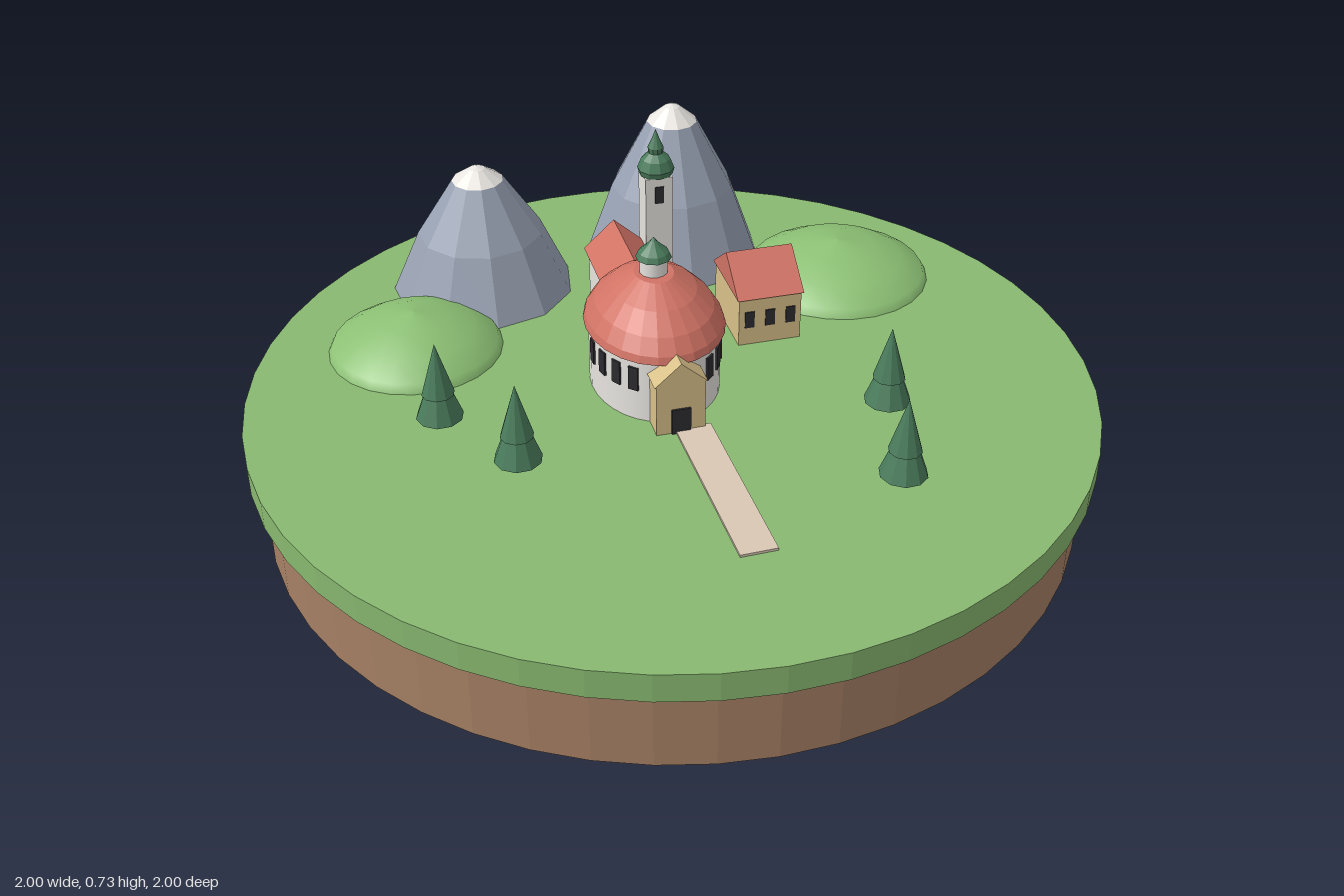
import * as THREE from 'three';

const paint = (name, color) => {
  const m = new THREE.MeshStandardMaterial({ color });
  m.name = name;
  return m;
};

export function createModel() {
  const soil = paint('soil brown', 0xa68064);
  const grass = paint('grass green', 0x88b870);
  const hillGreen = paint('hill green', 0x8cc074);
  const rock = paint('rock grey', 0x98a1b2);
  const white = paint('plaster white', 0xeeebe6);
  const red = paint('roof red', 0xd07264);
  const tan = paint('tan plaster', 0xd8c088);
  const green = paint('dark green', 0x4a7c5c);
  const dark = paint('window dark', 0x2c2c30);
  const sand = paint('path sand', 0xd9c7b3);

  const model = new THREE.Group();
  const GROUND = 0.27;
  const TURN = -0.35; // buildings share one heading

  const add = (parent, name, geo, mat, x = 0, y = 0, z = 0, ry = 0) => {
    const m = new THREE.Mesh(geo, mat);
    m.name = name;
    m.position.set(x, y, z);
    m.rotation.y = ry;
    parent.add(m);
    return m;
  };
  const group = (parent, name, x = 0, y = 0, z = 0, ry = 0) => {
    const g = new THREE.Group();
    g.name = name;
    g.position.set(x, y, z);
    g.rotation.y = ry;
    parent.add(g);
    return g;
  };
  const facet = (geo) => {
    const g = geo.index ? geo.toNonIndexed() : geo;
    g.computeVertexNormals();
    return g;
  };
  const lathe = (pts, seg) => new THREE.LatheGeometry(pts.map(([r, y]) => new THREE.Vector2(r, y)), seg);
  // box standing on its base
  const block = (w, h, d) => new THREE.BoxGeometry(w, h, d).translate(0, h / 2, 0);
  // triangular prism with its ridge along z
  const gable = (w, h, d) => {
    const s = new THREE.Shape([[-w / 2, 0], [w / 2, 0], [0, h]].map(([x, y]) => new THREE.Vector2(x, y)));
    return new THREE.ExtrudeGeometry(s, { depth: d, bevelEnabled: false }).translate(0, 0, -d / 2);
  };

  // Round base
  add(model, 'soil', facet(new THREE.CylinderGeometry(0.97, 0.97, 0.2, 48)), soil, 0, 0.1);
  add(model, 'grass', facet(new THREE.CylinderGeometry(1, 1, 0.07, 48)), grass, 0, 0.235);

  // Mountains with snow caps
  for (const [x, z, h] of [[-0.13, -0.66, 0.34], [0.375, -0.53, 0.425]]) {
    const m = group(model, 'mountain', x, GROUND, z, 0.2);
    add(m, 'rock', facet(lathe([[0.23, 0], [0.158, h * 0.47], [0.065, h * 0.89]], 11)), rock);
    add(m, 'snowCap', facet(lathe([[0.065, h * 0.89], [0.02, h * 0.98], [0, h]], 11)), white);
  }

  // Hills with a steep rim
  for (const [x, z, r] of [[-0.42, -0.49, 0.212], [0.65, -0.175, 0.237]]) {
    const profile = [[1, 0], [0.95, 0.022], [0.7, 0.056], [0.38, 0.084], [0, 0.1]];
    add(model, 'hill', lathe(profile.map(([k, y]) => [k * r, y]), 24), hillGreen, x, GROUND, z);
  }

  // Trees
  for (const [x, z] of [[-0.535, -0.16], [-0.475, 0.085], [0.34, 0.38], [0.18, 0.615]]) {
    const t = group(model, 'tree', x, GROUND, z);
    add(t, 'trunk', new THREE.CylinderGeometry(0.011, 0.013, 0.04, 6), soil, 0, 0.02);
    add(t, 'lowerFoliage', facet(new THREE.ConeGeometry(0.055, 0.15, 10)), green, 0, 0.103);
    add(t, 'upperFoliage', facet(new THREE.ConeGeometry(0.038, 0.13, 10)), green, 0, 0.155);
  }

  // Church: oval nave with domed roof
  const church = group(model, 'church', -0.02, GROUND, -0.045, TURN);
  const A = 0.152, B = 0.193;
  add(church, 'naveWall', lathe([[1, 0], [1, 0.17]], 32).scale(A, 1, B), white);
  const dome = [[0.9, 0.162], [1, 0.162], [0.97, 0.18], [0.84, 0.215], [0.6, 0.254], [0.28, 0.29], [0, 0.29]];
  add(church, 'naveRoof', facet(lathe(dome, 24).scale(0.164, 1, 0.207)), red);
  for (const side of [-1, 1]) {
    for (const deg of [36, 52, 68, 84]) {
      const a = side * THREE.MathUtils.degToRad(deg);
      add(church, 'naveWindow', new THREE.BoxGeometry(0.025, 0.06, 0.008), dark,
        A * Math.sin(a), 0.11, B * Math.cos(a), Math.atan2(Math.sin(a) / A, Math.cos(a) / B));
    }
  }
  add(church, 'lantern', new THREE.CylinderGeometry(0.033, 0.033, 0.045, 12), white, 0, 0.308);
  const cap = [[0, 0], [0.042, 0], [0.036, 0.014], [0.018, 0.03], [0.007, 0.042], [0, 0.052]];
  add(church, 'lanternCap', facet(lathe(cap, 10)), green, 0, 0.328);

  // Porch and path
  add(church, 'porch', block(0.115, 0.13, 0.08), tan, 0, 0, 0.198);
  add(church, 'porchGable', gable(0.125, 0.055, 0.085), tan, 0, 0.13, 0.198);
  add(church, 'door', block(0.045, 0.065, 0.008), dark, 0, 0, 0.239);
  add(church, 'path', block(0.085, 0.006, 0.47), sand, 0.035, 0, 0.465, 0.02);

  // Choir behind the nave
  add(church, 'choirWall', block(0.135, 0.15, 0.27), white, 0, 0, -0.25);
  add(church, 'choirRoof', gable(0.155, 0.07, 0.29), red, 0, 0.148, -0.25);

  // Bell tower, with a window front and back
  const tower = group(church, 'tower', 0.105, 0, -0.376);
  add(tower, 'towerShaft', block(0.07, 0.345, 0.07), white);
  for (const z of [-0.034, 0.034]) {
    add(tower, 'towerWindow', new THREE.BoxGeometry(0.022, 0.045, 0.008), dark, 0, 0.3, z);
  }
  const onion = [[0, 0], [0.042, 0], [0.046, 0.015], [0.036, 0.04], [0.018, 0.056], [0.02, 0.07], [0.009, 0.094], [0, 0.118]];
  add(tower, 'towerCap', facet(lathe(onion, 10)), green, 0, 0.345);

  // House
  const house = group(model, 'house', 0.335, GROUND, -0.105, TURN);
  add(house, 'houseWall', block(0.158, 0.13, 0.2), tan);
  add(house, 'houseRoof', gable(0.212, 0.08, 0.168), red, 0, 0.128, 0, Math.PI / 2);
  for (const x of [-0.052, 0, 0.052]) {
    add(house, 'houseWindow', new THREE.BoxGeometry(0.024, 0.044, 0.008), dark, x, 0.07, 0.099);
  }
  return model;
}
